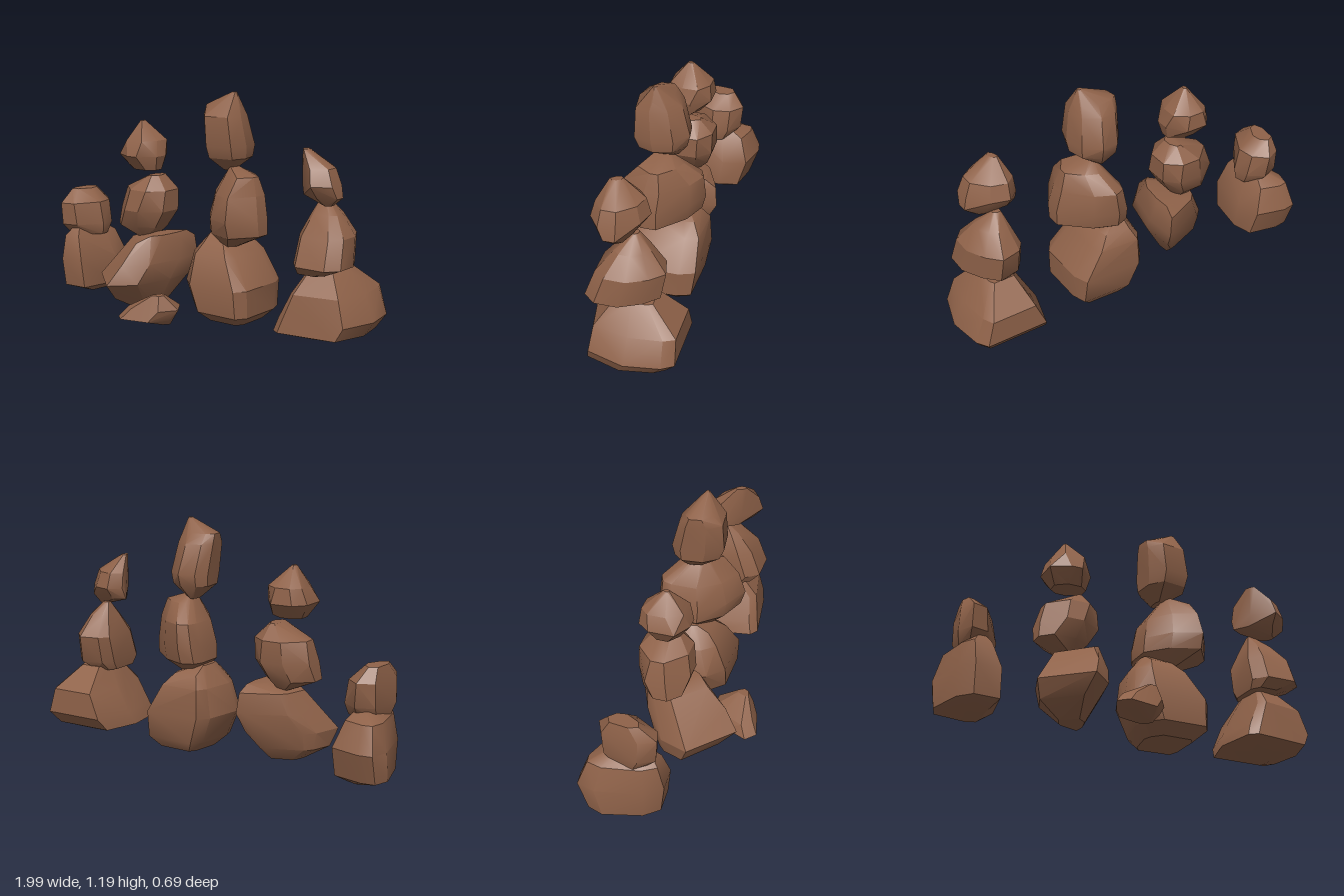
import * as THREE from 'three';
import { ConvexGeometry } from 'three/addons/geometries/ConvexGeometry.js';
import { toCreasedNormals } from 'three/addons/utils/BufferGeometryUtils.js';

// Small seeded generator so every rock is chipped differently but repeatably
let seed = 1;
const rand = (a, b) => {
  seed = (seed * 16807) % 2147483647;
  return a + (b - a) * (seed / 2147483647);
};

// Irregular octagon that touches all four sides of the unit square
function chippedPlan() {
  const plan = [];
  for (const s of [-1, 1]) for (const t of [-1, 1]) {
    plan.push([s, t * rand(0.15, 0.6)], [t * rand(0.15, 0.6), s]);
  }
  return plan;
}

// Hull around level slices [y, xMin, xMax, zBack, zFront], each shaped by a plan outline
function rockGeometry(slices, plan) {
  const points = [];
  for (const [y, x0, x1, z0, z1] of slices) {
    for (const [u, v] of plan || chippedPlan()) {
      points.push(new THREE.Vector3(
        (x0 + x1) / 2 + u * (x1 - x0) / 2, y, (z0 + z1) / 2 + v * (z1 - z0) / 2));
    }
  }
  return toCreasedNormals(new ConvexGeometry(points), 0.5);
}

export function createModel() {
  seed = 4711;
  const model = new THREE.Group();
  model.name = 'stackedRocks';
  const stone = new THREE.MeshStandardMaterial({ color: 0x8f6249 });
  stone.name = 'brownStone';

  function stack(name, rocks) {
    const group = new THREE.Group();
    group.name = name;
    for (const [part, slices, plan] of rocks) {
      const mesh = new THREE.Mesh(rockGeometry(slices, plan), stone);
      mesh.name = part;
      group.add(mesh);
    }
    model.add(group);
  }

  // Short stack of two
  stack('shortStack', [
    ['baseRock', [
      [0.01, -0.86, -0.77, -0.22, -0.06],
      [0.05, -0.99, -0.71, -0.30, 0.05],
      [0.20, -0.995, -0.715, -0.35, 0.07],
      [0.33, -0.96, -0.77, -0.30, 0.04],
      [0.38, -0.88, -0.81, -0.20, 0.00],
    ], [[-1, -0.5], [-0.8, -0.95], [-0.3, -1], [0.8, -0.8], [1, -0.2], [0.75, 0.95], [-0.2, 1], [-0.65, 0.6]]],
    ['topRock', [
      [0.33, -0.93, -0.74, -0.20, -0.02],
      [0.39, -0.945, -0.73, -0.25, 0.04],
      [0.51, -0.94, -0.755, -0.26, 0.05],
      [0.58, -0.92, -0.83, -0.20, -0.04],
    ], [[-1, 0.45], [-0.6, 1], [0.2, 0.85], [1, 0], [0.85, -0.6], [0.1, -1], [-0.75, -0.75]]],
  ]);

  // Leaning stack whose base juts forward to a blunt point
  const jutting = [[-1, 0.2], [-0.75, -0.38], [-0.5, -0.58], [0.7, -0.95], [0.92, -1], [1, -0.3], [0.75, 0.55], [0.15, 1]];
  stack('leaningStack', [
    ['baseRock', [
      [0.01, -0.43, -0.29, -0.10, 0.06],
      [0.08, -0.55, -0.26, -0.17, 0.19],
      [0.17, -0.58, -0.20, -0.22, 0.28],
      [0.27, -0.51, -0.18, -0.27, 0.21],
      [0.375, -0.45, -0.195, -0.26, 0.11],
      [0.41, -0.31, -0.21, -0.20, 0.05],
    ], jutting],
    ['middleRock', [
      [0.375, -0.39, -0.34, -0.12, -0.02],
      [0.44, -0.54, -0.28, -0.18, 0.03],
      [0.53, -0.53, -0.225, -0.21, 0.06],
      [0.64, -0.50, -0.225, -0.21, 0.04],
      [0.715, -0.35, -0.29, -0.14, -0.03],
    ]],
    ['topRock', [
      [0.745, -0.46, -0.29, -0.13, 0.00],
      [0.82, -0.505, -0.27, -0.19, 0.055],
      [0.90, -0.48, -0.29, -0.18, 0.03],
      [1.00, -0.41, -0.39, -0.08, -0.05],
    ]],
  ]);

  // Tallest stack
  stack('tallStack', [
    ['baseRock', [
      [0.015, 0.06, 0.30, -0.24, 0.02],
      [0.07, 0.00, 0.36, -0.28, 0.09],
      [0.21, -0.06, 0.36, -0.30, 0.10],
      [0.36, -0.03, 0.26, -0.29, 0.05],
      [0.42, 0.02, 0.20, -0.25, 0.00],
      [0.46, 0.05, 0.09, -0.18, -0.06],
    ], [[-1, 0.25], [-0.82, -0.7], [-0.6, -1], [0.85, -0.95], [1, -0.55], [1, 0.7], [0.8, 1], [-0.5, 1], [-0.9, 0.6]]],
    ['middleRock', [
      [0.39, 0.15, 0.19, -0.14, -0.04],
      [0.48, 0.05, 0.385, -0.27, 0.11],
      [0.56, 0.055, 0.385, -0.29, 0.135],
      [0.68, 0.08, 0.36, -0.28, 0.10],
      [0.77, 0.15, 0.33, -0.19, 0.02],
      [0.81, 0.17, 0.21, -0.12, -0.04],
    ], [[-1, -0.6], [-0.88, -0.88], [-0.5, -1], [0.2, -0.75], [1, -0.1], [1, 0.3], [0.45, 1], [-0.4, 0.7], [-1, 0.1]]],
    ['topRock', [
      [0.79, 0.13, 0.17, -0.15, -0.06],
      [0.86, 0.055, 0.28, -0.20, 0.04],
      [0.92, 0.05, 0.29, -0.215, 0.065],
      [1.07, 0.04, 0.265, -0.17, 0.06],
      [1.12, 0.04, 0.25, -0.13, 0.01],
      [1.19, 0.20, 0.225, -0.06, -0.04],
    ], [[-1, -0.5], [-0.65, -0.9], [0.1, -1], [0.8, -0.55], [1, 0.2], [0.75, 0.85], [-0.4, 1], [-0.9, 0.4]]],
  ]);

  // Wide-footed stack
  stack('wideStack', [
    ['baseRock', [
      [0.025, 0.70, 0.82, -0.20, 0.00],
      [0.065, 0.53, 0.96, -0.30, 0.13],
      [0.13, 0.55, 0.995, -0.35, 0.12],
      [0.26, 0.62, 0.94, -0.345, 0.10],
      [0.375, 0.68, 0.83, -0.21, -0.01],
    ], [[-1, -0.15], [-0.75, -1], [0.7, -1], [0.87, -0.75], [1, 0], [0.75, 0.8], [0, 0.9], [-0.65, 1], [-0.85, 0.85]]],
    ['middleRock', [
      [0.355, 0.64, 0.80, -0.19, 0.06],
      [0.40, 0.635, 0.905, -0.24, 0.11],
      [0.54, 0.64, 0.89, -0.265, 0.06],
      [0.64, 0.675, 0.82, -0.19, -0.02],
      [0.71, 0.70, 0.74, -0.12, -0.09],
    ], [[-1, -0.55], [-0.7, -0.85], [0.1, -1], [0.6, -0.6], [1, 0], [1, 0.65], [0.6, 1], [-0.6, 1], [-1, 0.6]]],
    ['topRock', [
      [0.69, 0.75, 0.81, -0.07, 0.01],
      [0.73, 0.605, 0.855, -0.12, 0.05],
      [0.79, 0.61, 0.845, -0.165, 0.10],
      [0.87, 0.615, 0.815, -0.14, 0.08],
      [0.955, 0.65, 0.69, -0.03, 0.03],
    ], [[-1, -0.6], [-0.5, -1], [0.3, -0.8], [1, -0.1], [1, 0.55], [0.3, 1], [-0.6, 0.3]]],
  ]);

  // Loose pebble on the ground at the front
  stack('loosePebble', [
    ['pebble', [
      [0.005, -0.12, -0.02, 0.14, 0.22],
      [0.035, -0.265, 0.00, 0.10, 0.345],
      [0.09, -0.22, 0.04, 0.085, 0.31],
      [0.165, -0.08, -0.02, 0.20, 0.26],
    ], [[-1, 0.6], [-0.6, 1], [0.55, 0.7], [1, -0.1], [0.5, -0.95], [-0.2, -1], [-0.55, -0.45]]],
  ]);

  return model;
}
